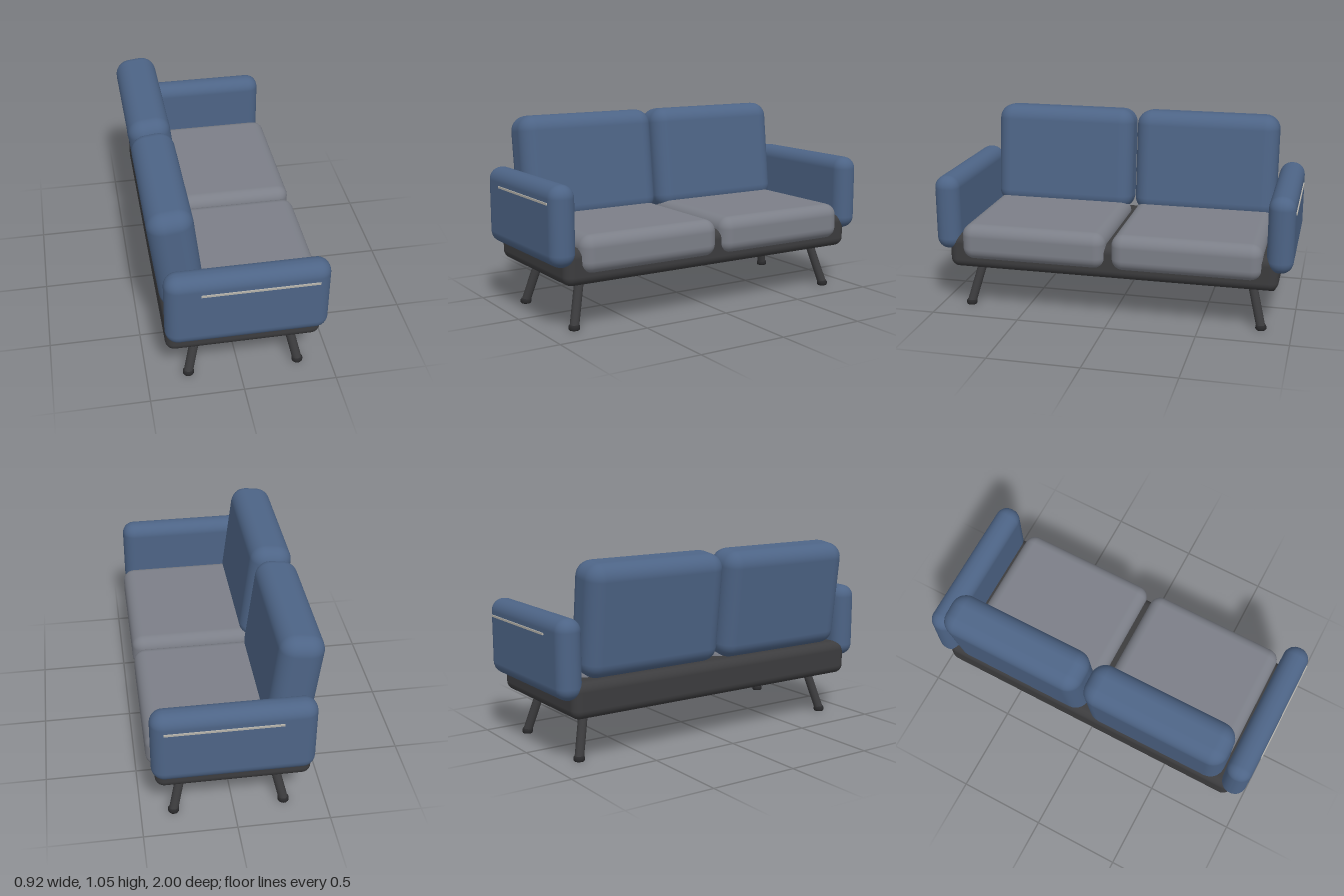
import * as THREE from 'three';
import { RoundedBoxGeometry } from 'three/addons/geometries/RoundedBoxGeometry.js';

const paint = (color) => new THREE.MeshStandardMaterial({ color });
const blue = paint(0x4d6486);
const grey = paint(0x7c7f88);
const dark = paint(0x3c3c3e);
const black = paint(0x2a2a2c);
const trim = paint(0xb5b2aa);

// Soft block given by its extents [min, max] on each axis
function softBlock(name, [x0, x1], [y0, y1], [z0, z1], radius, material) {
  const geometry = new RoundedBoxGeometry(x1 - x0, y1 - y0, z1 - z0, 4, radius);
  const mesh = new THREE.Mesh(geometry, material);
  mesh.name = name;
  mesh.position.set((x0 + x1) / 2, (y0 + y1) / 2, (z0 + z1) / 2);
  return mesh;
}

// Splayed round leg with a small foot cap
function createLeg(name, topX, footX, side) {
  const leg = new THREE.Group();
  leg.name = name;
  const top = new THREE.Vector3(topX, 0.27, side * 0.765);
  const foot = new THREE.Vector3(footX, 0.015, side * 0.832);
  const axis = top.clone().sub(foot);
  const shaft = new THREE.Mesh(new THREE.CylinderGeometry(0.025, 0.025, axis.length(), 16), dark);
  shaft.name = 'legShaft';
  shaft.position.copy(top).add(foot).multiplyScalar(0.5);
  shaft.quaternion.setFromUnitVectors(new THREE.Vector3(0, 1, 0), axis.normalize());
  const profile = [[0, 0], [0.026, 0], [0.03, 0.006], [0.03, 0.02], [0.025, 0.028], [0, 0.028]];
  const cap = new THREE.Mesh(
    new THREE.LatheGeometry(profile.map(([r, y]) => new THREE.Vector2(r, y)), 16), black);
  cap.name = 'footCap';
  cap.position.set(footX, 0, side * 0.832);
  leg.add(shaft, cap);
  return leg;
}

export function createModel() {
  const sofa = new THREE.Group();
  sofa.name = 'sofa';

  // Upholstered base; the seat opens towards +x
  sofa.add(softBlock('base', [-0.4, 0.42], [0.25, 0.445], [-0.92, 0.92], 0.05, dark));

  for (const side of [1, -1]) {
    const end = side > 0 ? 'Left' : 'Right';
    const span = (a, b) => (side > 0 ? [a, b] : [-b, -a]);

    // Seat cushion overhanging the base front
    sofa.add(softBlock('seatCushion' + end, [-0.3, 0.457], [0.31, 0.512], span(0.016, 0.836), 0.065, grey));

    // Back cushion, leaning backwards
    const back = softBlock('backCushion' + end, [-0.435, -0.199], [0.447, 1.048], span(0.01, 0.84), 0.085, blue);
    back.rotation.z = 0.118;
    sofa.add(back);

    // Arm with a thin trim strip on its outer face
    sofa.add(softBlock('arm' + end, [-0.405, 0.44], [0.353, 0.775], span(0.852, 0.994), 0.068, blue));
    const strip = new THREE.Mesh(new THREE.BoxGeometry(0.6, 0.011, 0.014), trim);
    strip.name = 'armTrim' + end;
    strip.position.set(0.075, 0.683, side * 0.993);
    sofa.add(strip);

    sofa.add(createLeg('rearLeg' + end, -0.213, -0.275, side));
    sofa.add(createLeg('frontLeg' + end, 0.262, 0.323, side));
  }
  return sofa;
}
